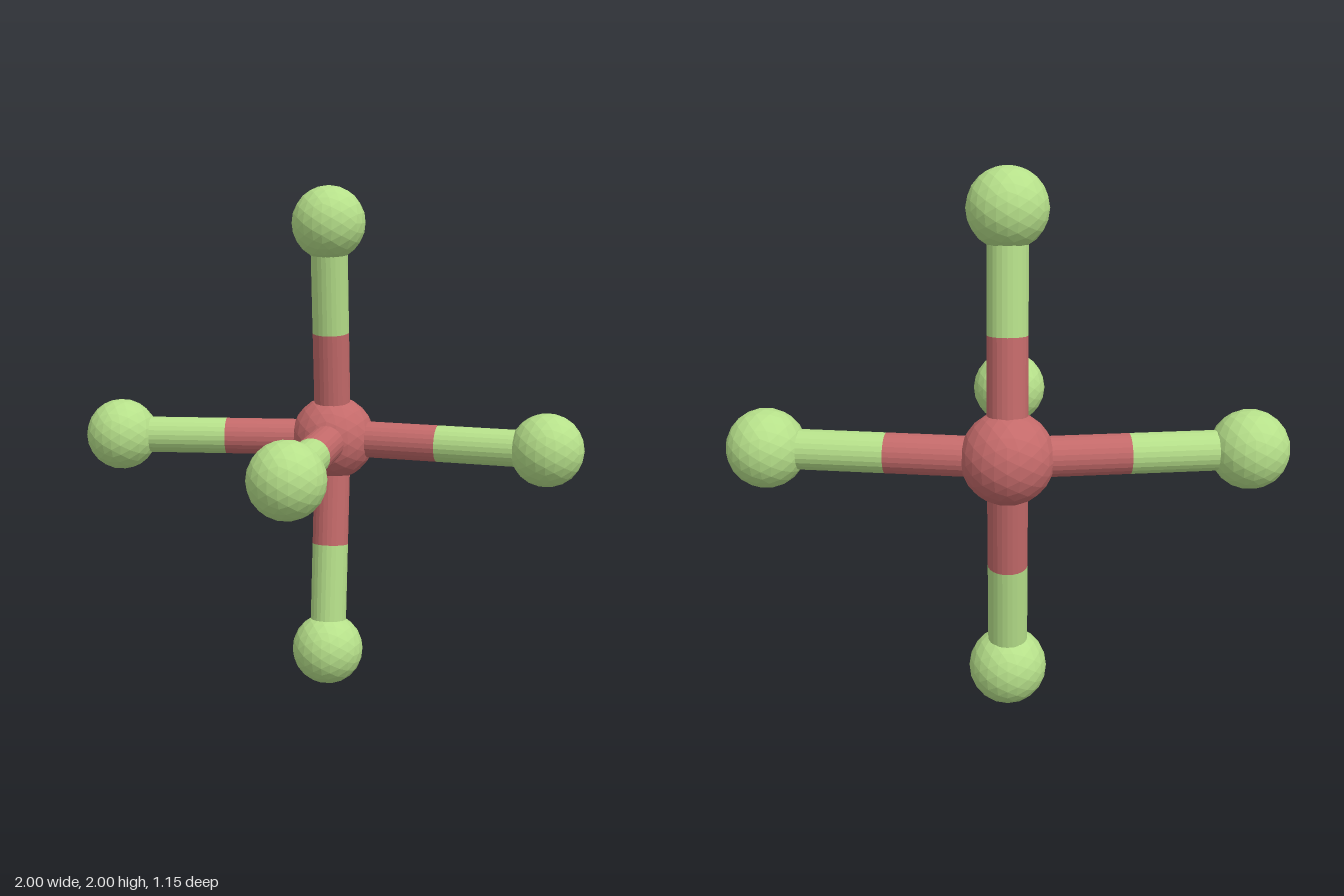
import * as THREE from 'three';

const red = new THREE.MeshStandardMaterial({ color: 0xc46a6a, flatShading: true });
const green = new THREE.MeshStandardMaterial({ color: 0xb6e08a, flatShading: true });

// Faceted ball
function ball(name, radius, position, material) {
  const mesh = new THREE.Mesh(new THREE.IcosahedronGeometry(radius, 3), material);
  mesh.name = name;
  mesh.position.copy(position);
  return mesh;
}

// Straight rod between two points
function rod(name, from, to, material) {
  const dir = to.clone().sub(from);
  const mesh = new THREE.Mesh(new THREE.CylinderGeometry(0.072, 0.072, dir.length(), 24), material);
  mesh.name = name;
  mesh.position.copy(from).add(to).multiplyScalar(0.5);
  mesh.quaternion.setFromUnitVectors(new THREE.Vector3(0, 1, 0), dir.normalize());
  return mesh;
}

export function createModel() {
  const model = new THREE.Group();
  model.name = 'ballAndStickMolecule';

  // Central atom
  const center = new THREE.Vector3(0, 1, -0.41);
  model.add(ball('centralAtom', 0.168, center, red));

  // Five outer atoms, each on a two-coloured bond
  const outer = {
    front: [0, 1, 0.43],
    left: [0.857, 1, -0.31],
    right: [-0.857, 1, -0.31],
    top: [0, 1.857, -0.31],
    bottom: [0, 0.143, -0.31],
  };
  for (const [side, p] of Object.entries(outer)) {
    const end = new THREE.Vector3(...p);
    const middle = center.clone().lerp(end, 0.5);
    const arm = new THREE.Group();
    arm.name = side + 'Arm';
    arm.add(
      rod('innerBond', center, middle, red),
      rod('outerBond', middle, end, green),
      ball('outerAtom', 0.143, end, green),
    );
    model.add(arm);
  }
  return model;
}
